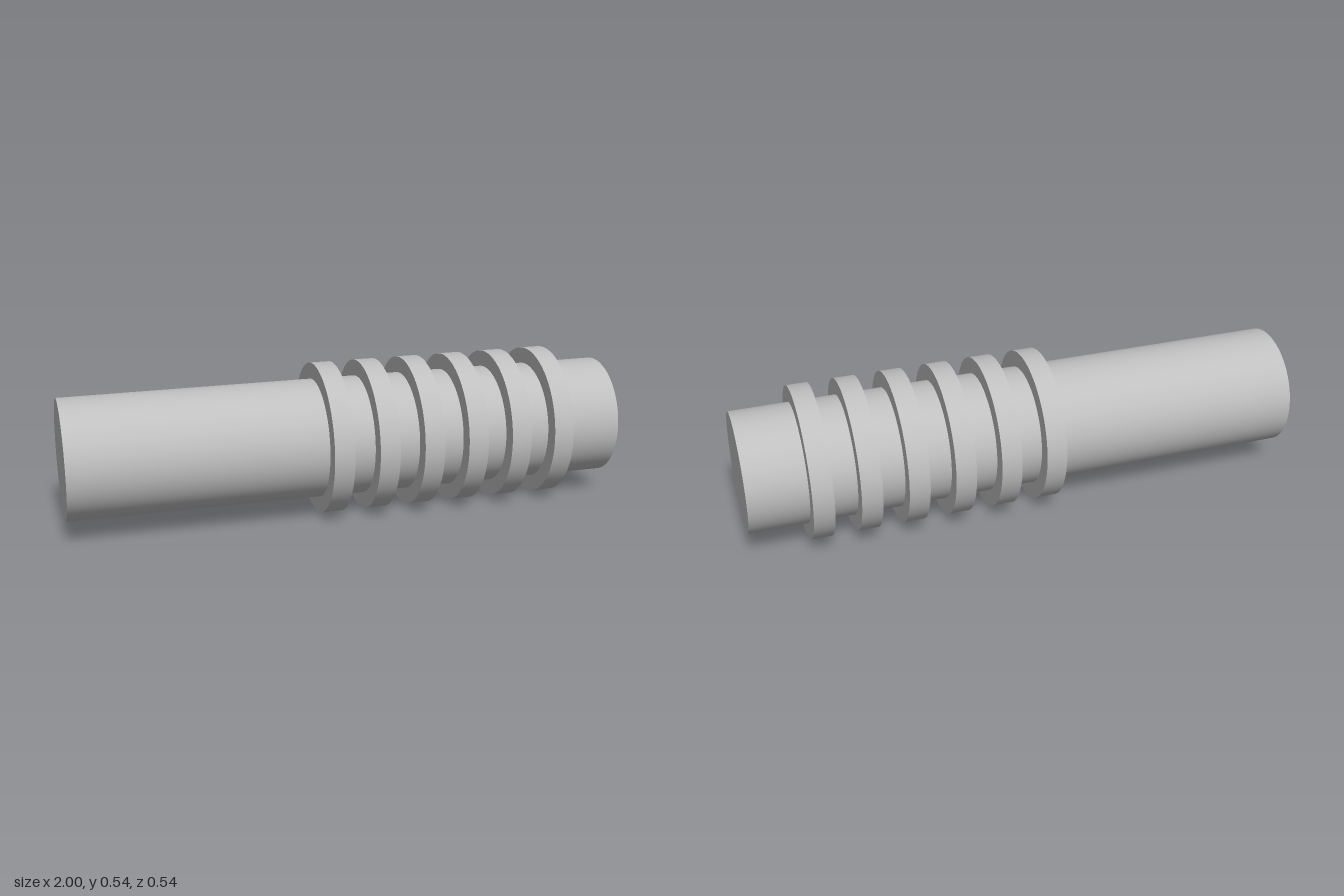
import * as THREE from 'three';

export function createModel() {
  const group = new THREE.Group();
  const grey = new THREE.MeshStandardMaterial({ color: 0xbfbfbf });
  grey.name = 'plain grey';

  const axisY = 0.27;

  // Solid cylinder lying along x
  function addDisc(name, radius, length, x) {
    const geometry = new THREE.CylinderGeometry(radius, radius, length, 96);
    geometry.rotateZ(Math.PI / 2);
    const mesh = new THREE.Mesh(geometry, grey);
    mesh.name = name;
    mesh.position.set(x, axisY, 0);
    group.add(mesh);
  }

  // Main shaft
  addDisc('shaft', 0.2125, 2, 0);

  // Six evenly spaced collars
  for (let i = 0; i < 6; i++) {
    addDisc(`collar${i + 1}`, 0.27, 0.073, -0.064 + i * 0.164);
  }

  return group;
}
